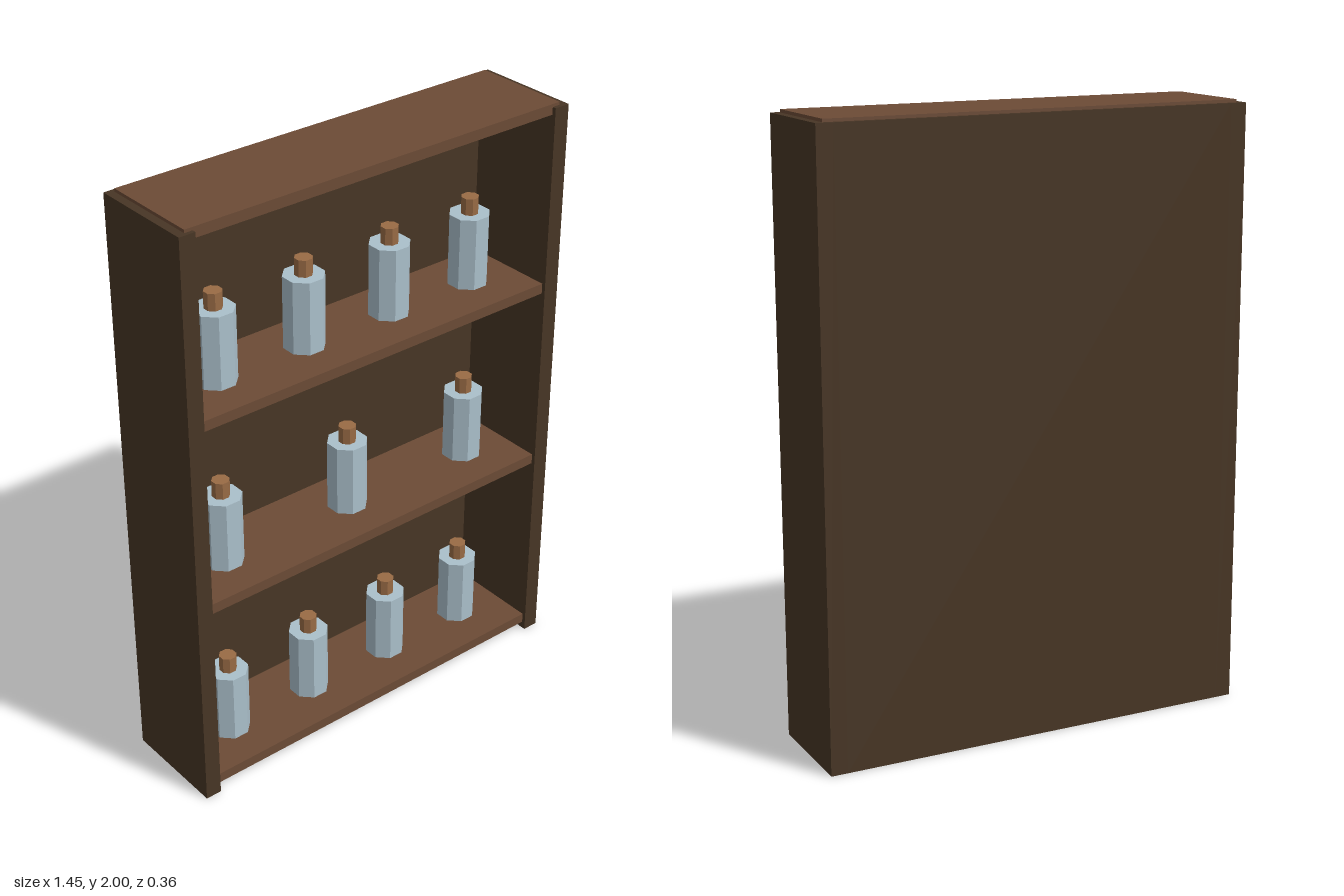
import * as THREE from 'three';

const material = (name, color) => {
  const m = new THREE.MeshStandardMaterial({ color, flatShading: true });
  m.name = name;
  return m;
};

export function createModel() {
  const darkWood = material('dark wood', 0x483625);
  const shelfWood = material('shelf wood', 0x6c4b36);
  const glass = material('pale glass', 0xabc0cb);
  const corkMat = material('cork', 0x996b45);

  const model = new THREE.Group();
  model.name = 'bottleShelf';

  // Box given by its minimum and maximum corners
  const box = (name, mat, [x0, y0, z0], [x1, y1, z1]) => {
    const mesh = new THREE.Mesh(new THREE.BoxGeometry(x1 - x0, y1 - y0, z1 - z0), mat);
    mesh.position.set((x0 + x1) / 2, (y0 + y1) / 2, (z0 + z1) / 2);
    mesh.name = name;
    model.add(mesh);
  };

  // Cabinet frame
  box('leftSide', darkWood, [0.67, 0, -0.183], [0.725, 1.99, 0.181]);
  box('rightSide', darkWood, [-0.725, 0, -0.183], [-0.67, 1.99, 0.181]);
  box('backPanel', darkWood, [-0.67, 0, -0.183], [0.67, 1.99, -0.155]);

  // Boards, let into the sides and back; the top one stands slightly proud
  const shelfTops = [0.06, 0.735, 1.385];
  for (const y of [...shelfTops, 2]) {
    box(y === 2 ? 'topBoard' : 'shelf', shelfWood, [-0.698, y - 0.035, -0.168], [0.698, y, 0.168]);
  }

  // Octagonal corked bottles
  const bodyGeometry = new THREE.CylinderGeometry(0.067, 0.067, 0.243, 8).rotateY(Math.PI / 8);
  const corkGeometry = new THREE.CylinderGeometry(0.029, 0.029, 0.056, 8).rotateY(Math.PI / 8);
  const rows = [
    [-0.497, -0.167, 0.167, 0.497],
    [-0.497, 0, 0.497],
    [-0.497, -0.167, 0.167, 0.497],
  ];
  rows.forEach((row, i) => {
    for (const x of row) {
      const bottle = new THREE.Group();
      bottle.name = 'bottle';
      const body = new THREE.Mesh(bodyGeometry, glass);
      body.name = 'bottleBody';
      body.position.y = 0.1215;
      const cork = new THREE.Mesh(corkGeometry, corkMat);
      cork.name = 'cork';
      cork.position.y = 0.271;
      bottle.add(body, cork);
      bottle.position.set(x, shelfTops[i], 0);
      model.add(bottle);
    }
  });

  return model;
}
